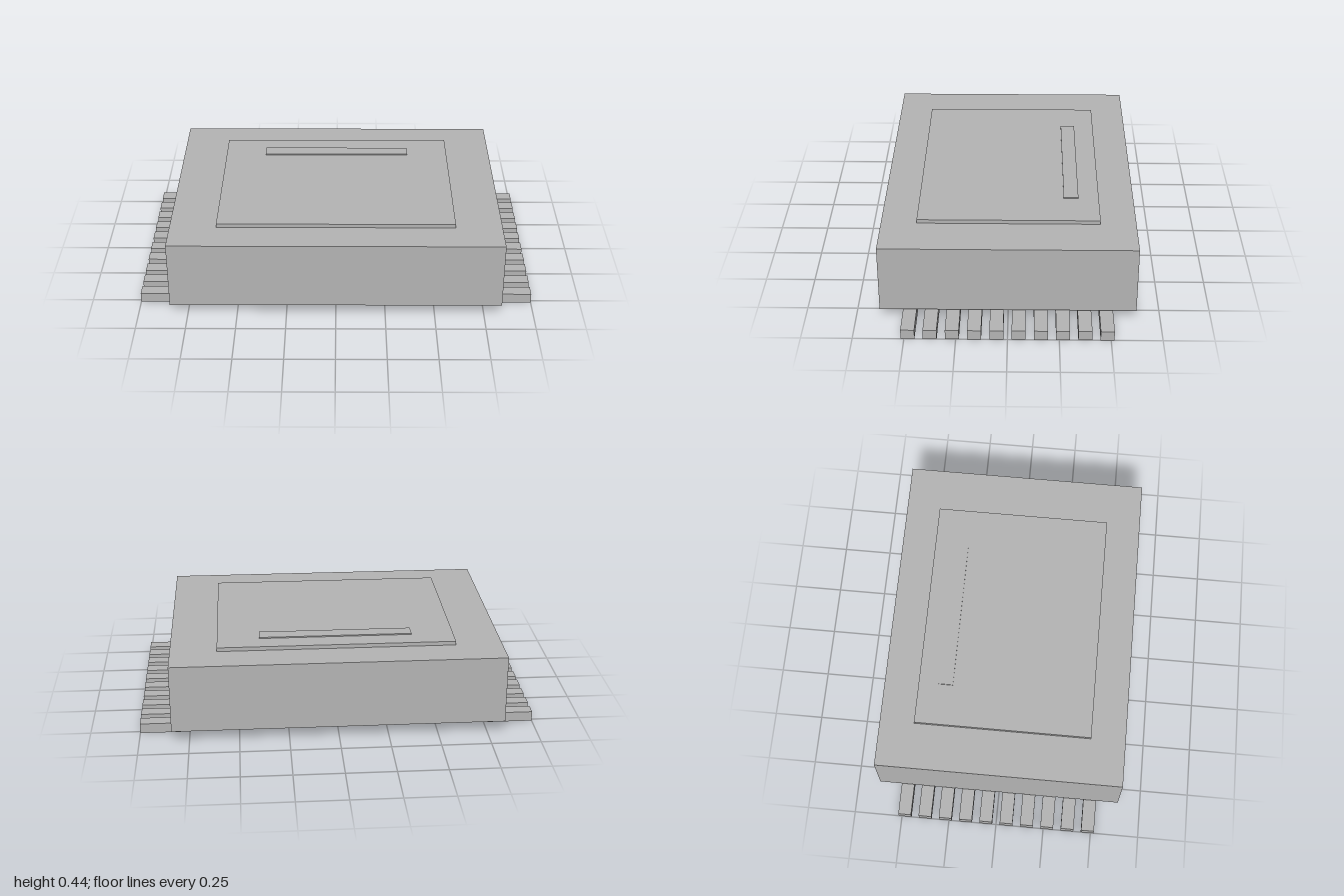
import * as THREE from 'three';

export function createModel() {
  const group = new THREE.Group();
  group.name = 'chipPackage';
  const grey = new THREE.MeshStandardMaterial({ color: 0xb3b3b3 });
  grey.name = 'grey';

  // Box given by its centre in x and z, its base height and its size
  function box(name, x, base, z, w, h, d) {
    const mesh = new THREE.Mesh(new THREE.BoxGeometry(w, h, d), grey);
    mesh.name = name;
    mesh.position.set(x, base + h / 2, z);
    group.add(mesh);
  }

  // Package body, raised lid and the thin marker bar near the back
  box('body', 0, 0.06, 0, 1.676, 0.35, 1.26);
  box('lid', 0, 0.41, 0, 1.204, 0.02, 0.906);
  box('markerBar', 0, 0.43, -0.313, 0.776, 0.006, 0.074);

  // Ten flat leads along each side
  const count = 10, pitch = 0.1072;
  for (const side of [1, -1]) {
    for (let i = 0; i < count; i++) {
      const z = (i - (count - 1) / 2) * pitch;
      box(side > 0 ? 'leftLead' : 'rightLead', side * 0.875, 0, z, 0.25, 0.051, 0.067);
    }
  }
  return group;
}
